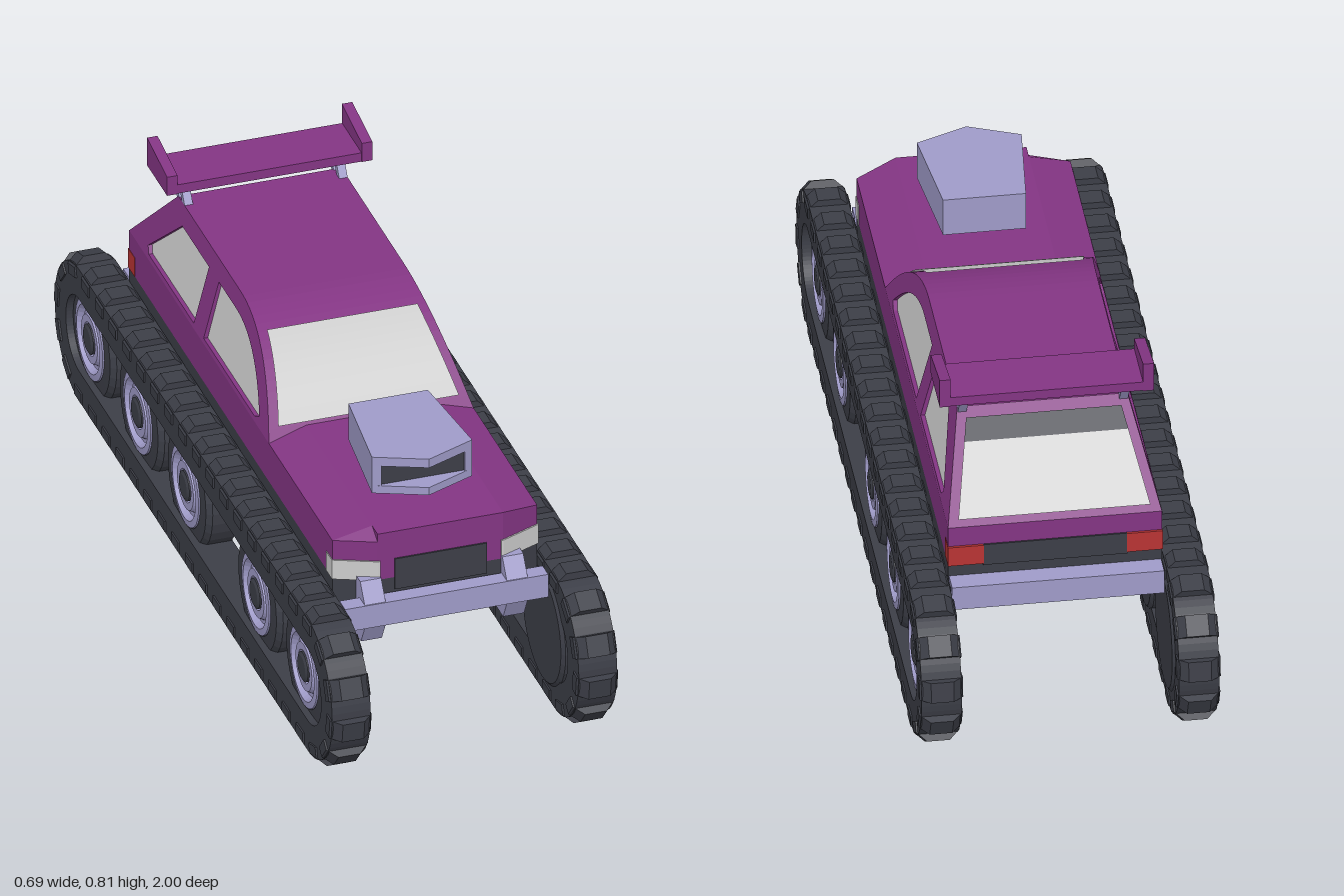
import * as THREE from 'three';

const mat = (color, flat = true) => new THREE.MeshStandardMaterial({ color, flatShading: flat, side: THREE.DoubleSide });
const purple = mat(0x833583), dark = mat(0x3c3e47), steel = mat(0x9f9bc8), red = mat(0xb83434);
const grey = mat(0xcccccc), glass = mat(0xcccccc, false);

const shapeOf = pts => new THREE.Shape(pts.map(p => new THREE.Vector2(p[0], p[1])));

// Outline in (z, y), extruded across x
function across(shape, x0, x1) {
  const g = new THREE.ExtrudeGeometry(shape, { depth: x1 - x0, bevelEnabled: false, curveSegments: 16 });
  return g.rotateY(-Math.PI / 2).translate(x1, 0, 0);
}

// Outline in (x, z), extruded upward
function slab(pts, y0, y1) {
  const g = new THREE.ExtrudeGeometry(shapeOf(pts.map(([x, z]) => [x, -z])), { depth: y1 - y0, bevelEnabled: false });
  return g.rotateX(-Math.PI / 2).translate(0, y0, 0);
}

function box(x0, x1, y0, y1, z0, z1) {
  return new THREE.BoxGeometry(x1 - x0, y1 - y0, z1 - z0).translate((x0 + x1) / 2, (y0 + y1) / 2, (z0 + z1) / 2);
}

// Skin through rings {z, ring: [[x, y]...]} (counter-clockwise, z increasing), capped at both ends
function loft(sections) {
  const n = sections[0].ring.length, pos = [], idx = [];
  sections.forEach(s => s.ring.forEach(([x, y]) => pos.push(x, y, s.z)));
  for (let s = 0; s < sections.length - 1; s++) {
    for (let i = 0; i < n; i++) {
      const a = s * n + i, b = s * n + (i + 1) % n;
      idx.push(a, b, b + n, a, b + n, a + n);
    }
  }
  const end = (sections.length - 1) * n;
  for (let i = 1; i < n - 1; i++) idx.push(0, i + 1, i, end, end + i, end + i + 1);
  const g = new THREE.BufferGeometry();
  g.setAttribute('position', new THREE.Float32BufferAttribute(pos, 3));
  g.setIndex(idx);
  const flat = g.toNonIndexed();
  flat.computeVertexNormals();
  return flat;
}

// Cabin half-width narrows towards the roof
const cabinWidth = y => 0.245 - 0.05 * (y - 0.49) / 0.195;
function taper(g) {
  const p = g.attributes.position;
  for (let i = 0; i < p.count; i++) p.setX(i, p.getX(i) * cabinWidth(p.getY(i)) / 0.245);
  g.computeVertexNormals();
  return g;
}

// Pane laid on the cabin along a path(t) of (z, y), inset from the pillars
function pane(path, inset, facing) {
  const g = new THREE.PlaneGeometry(2, 1, 1, 16), p = g.attributes.position;
  for (let i = 0; i < p.count; i++) {
    const q = path(p.getY(i) + 0.5);
    p.setXYZ(i, facing * p.getX(i) * (cabinWidth(q.y) - inset), q.y + 0.003, q.x + facing * 0.003);
  }
  g.computeVertexNormals();
  return g;
}

function cabinShape() {
  const s = new THREE.Shape();
  s.moveTo(0.25, 0.49);
  s.quadraticCurveTo(0.1, 0.685, -0.1, 0.685);
  s.lineTo(-0.54, 0.685);
  s.lineTo(-0.74, 0.49);
  return s;
}

function frontWindow() {
  const s = new THREE.Shape();
  s.moveTo(0.165, 0.512);
  s.quadraticCurveTo(0.05, 0.642, -0.1, 0.642);
  s.lineTo(-0.22, 0.642);
  s.lineTo(-0.22, 0.5);
  s.lineTo(0.14, 0.5);
  return s;
}
const rearWindow = () => shapeOf([[-0.29, 0.5], [-0.29, 0.642], [-0.48, 0.642], [-0.625, 0.515], [-0.61, 0.5]]);

function stadium(r, Type) {
  const s = new Type();
  s.absarc(0.81, 0.19, r, -Math.PI / 2, Math.PI / 2, false);
  s.absarc(-0.81, 0.19, r, Math.PI / 2, Math.PI * 1.5, false);
  s.closePath();
  return s;
}

const lathe = pts => new THREE.LatheGeometry(pts.map(p => new THREE.Vector2(p[0], p[1])), 32);

export function createModel() {
  const model = new THREE.Group();
  const add = (name, geometry, material, parent = model) => {
    const m = new THREE.Mesh(geometry, material);
    m.name = name;
    parent.add(m);
    return m;
  };

  // Dark lower hull, with a sloped nose and tail
  const hullRing = (z, by, bx, w) => ({ z, ring: [[-bx, by], [bx, by], [w, 0.3], [w, 0.39], [-w, 0.39], [-w, 0.3]] });
  add('hull', loft([hullRing(-0.74, 0.29, 0.24, 0.245), hullRing(-0.45, 0.195, 0.195, 0.245),
    hullRing(0.62, 0.195, 0.195, 0.245), hullRing(0.7, 0.28, 0.235, 0.245), hullRing(0.74, 0.295, 0.15, 0.15)]), dark);

  // Painted lower body with crowned hood and cut front corners
  const bodyRing = (z, w, crown) => ({ z, ring: [[-w, 0.39], [w, 0.39], [w, 0.49], [0.15, crown], [-0.15, crown], [-w, 0.49]] });
  add('body', loft([bodyRing(-0.74, 0.245, 0.49), bodyRing(-0.7, 0.245, 0.511), bodyRing(0.7, 0.245, 0.511),
    bodyRing(0.74, 0.15, 0.511)]), purple);

  // Cabin core, window frames and glass
  add('cabin', taper(across(cabinShape(), -0.233, 0.233)), purple);
  for (const s of [-1, 1]) {
    const frame = cabinShape();
    frame.holes.push(frontWindow(), rearWindow());
    const span = (a, b) => (s > 0 ? [a, b] : [-b, -a]);
    add('windowFrame', taper(across(frame, ...span(0.233, 0.245))), purple);
    for (const w of [frontWindow(), rearWindow()]) add('sideWindow', taper(across(w, ...span(0.232, 0.235))), grey);
  }
  const arc = new THREE.QuadraticBezierCurve(new THREE.Vector2(0.25, 0.49), new THREE.Vector2(0.1, 0.685), new THREE.Vector2(-0.1, 0.685));
  const slope = new THREE.LineCurve(new THREE.Vector2(-0.74, 0.49), new THREE.Vector2(-0.54, 0.685));
  add('windshield', pane(t => arc.getPoint(0.07 + 0.56 * t), 0.022, 1), glass);
  add('rearGlass', pane(t => slope.getPoint(0.06 + 0.64 * t), 0.022, -1), glass);
  add('rearShade', pane(t => slope.getPoint(0.7 + 0.2 * t), 0.022, -1), dark);

  // Front and rear details
  add('grille', box(-0.11, 0.11, 0.36, 0.44, 0.7, 0.744), dark);
  add('rearPanel', box(-0.165, 0.165, 0.385, 0.44, -0.744, -0.7), dark);
  add('frontBumper', box(-0.243, 0.243, 0.295, 0.355, 0.745, 0.785), steel);
  add('rearBumper', box(-0.243, 0.243, 0.3, 0.36, -0.79, -0.735), steel);
  const post = shapeOf([[0.71, 0.4], [0.75, 0.4], [0.782, 0.355], [0.782, 0.295], [0.755, 0.245], [0.68, 0.245]]);
  for (const s of [-1, 1]) {
    add('headlight', slab([[s * 0.145, 0.744], [s * 0.15, 0.744], [s * 0.247, 0.703], [s * 0.247, 0.66], [s * 0.145, 0.66]], 0.39, 0.44), grey);
    add('tailLight', box(s * 0.205 - 0.041, s * 0.205 + 0.041, 0.39, 0.44, -0.746, -0.7), red);
    add('bumperPost', across(post, s * 0.17 - 0.025, s * 0.17 + 0.025), steel);
  }

  // Hood scoop with an open mouth
  const scoop = new THREE.Group();
  scoop.name = 'hoodScoop';
  model.add(scoop);
  const outline = [[-0.095, 0.37], [0.095, 0.37], [0.12, 0.61], [0, 0.66], [-0.12, 0.61]];
  add('scoopNeck', box(-0.075, 0.075, 0.5, 0.54, 0.42, 0.567), steel, scoop);
  add('scoopFloor', slab(outline, 0.54, 0.56), steel, scoop);
  add('scoopTop', slab(outline, 0.612, 0.635), steel, scoop);
  add('scoopSides', slab([[-0.095, 0.37], [0.095, 0.37], [0.12, 0.61], [0.1, 0.618], [0.1, 0.59], [-0.1, 0.59],
    [-0.1, 0.618], [-0.12, 0.61]], 0.56, 0.612), steel, scoop);
  add('scoopMouth', box(-0.1, 0.1, 0.56, 0.612, 0.58, 0.612), dark, scoop);

  // Rear wing on slanted struts
  const wing = new THREE.Group();
  wing.name = 'rearWing';
  model.add(wing);
  add('wingBlade', box(-0.222, 0.222, 0.735, 0.758, -0.61, -0.472), purple, wing);
  const plate = shapeOf([[-0.47, 0.735], [-0.47, 0.784], [-0.612, 0.808], [-0.612, 0.735]]);
  for (const s of [-1, 1]) {
    add('wingEndPlate', across(plate, s * 0.233 - 0.0125, s * 0.233 + 0.0125), purple, wing);
    for (const z of [-0.485, -0.525]) {
      const strut = shapeOf([[z, 0.67], [z - 0.02, 0.67], [z - 0.065, 0.737], [z - 0.045, 0.737]]);
      add('wingStrut', across(strut, s * 0.185 - 0.01, s * 0.185 + 0.01), steel, wing);
    }
  }

  // Tracks: belt, treads and road wheels
  const beltShape = stadium(0.174, THREE.Shape);
  beltShape.holes.push(stadium(0.095, THREE.Path));
  const lug = loft([-0.025, 0.025].map(z => ({
    z, ring: [[-0.05, -0.03], [0.05, -0.03], [0.05, -0.005], [0.026, 0.018], [-0.026, 0.018], [-0.05, -0.005]] })));
  const tire = lathe([[0, -0.052], [0.135, -0.052], [0.145, -0.044], [0.145, 0.015], [0.135, 0.028], [0.1, 0.03], [0.09, 0.015], [0, 0.015]]);
  const rim = lathe([[0.098, 0.015], [0.098, 0.033], [0.082, 0.035], [0.074, 0.02], [0.064, 0.02], [0.058, 0.032], [0.04, 0.032], [0.036, 0.016]]);
  const hub = lathe([[0.036, 0.01], [0.036, 0.034], [0.028, 0.038], [0, 0.038]]);
  const R = 0.172, L = 1.62, half = L + Math.PI * R, count = 44;
  for (const s of [-1, 1]) {
    const track = new THREE.Group();
    track.name = s > 0 ? 'leftTrack' : 'rightTrack';
    track.position.x = s * 0.295;
    model.add(track);
    add('belt', across(beltShape, -0.046, 0.046), dark, track);
    for (let i = 0; i < count; i++) {
      // Position along the loop; the second half is the first turned by 180 degrees
      const d = ((i + 0.5) / count) * 2 * half, turn = d >= half ? Math.PI : 0, e = d % half;
      const a = e < L ? 0 : (e - L) / R;
      const z = e < L ? e - L / 2 : L / 2 + R * Math.sin(a), y = R * Math.cos(a);
      const k = turn ? -1 : 1;
      const m = add('tread', lug, dark, track);
      m.position.set(0, 0.19 + k * y, k * z);
      m.rotation.x = a + turn;
    }
    for (const z of [0.74, 0.4, -0.1, -0.44, -0.78]) {
      const wheel = new THREE.Group();
      wheel.name = 'roadWheel';
      wheel.position.set(0, 0.195, z);
      wheel.rotation.z = -s * Math.PI / 2;
      track.add(wheel);
      add('tire', tire, dark, wheel);
      add('rim', rim, steel, wheel);
      add('hub', hub, dark, wheel);
    }
  }
  return model;
}
